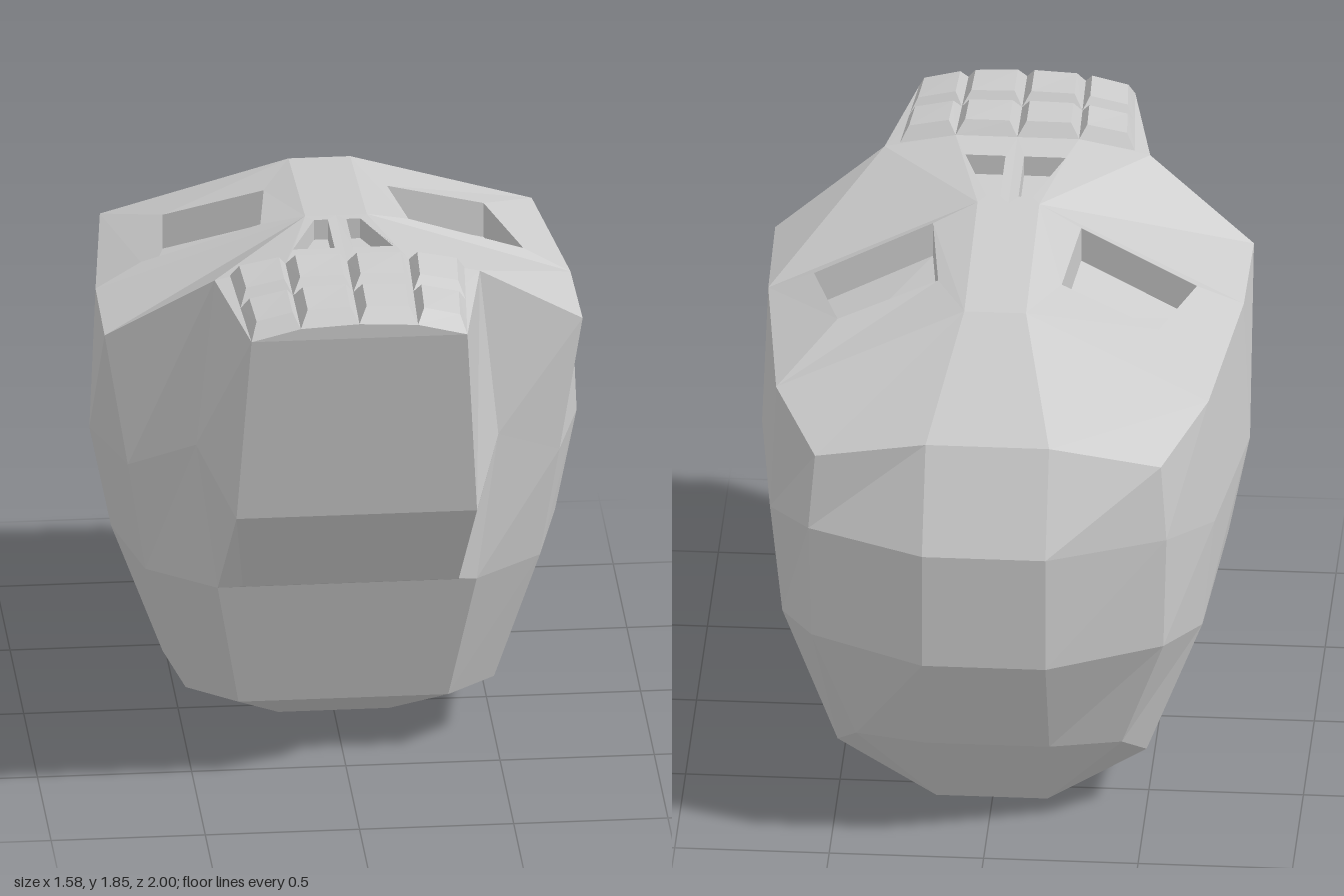
import * as THREE from 'three';

const material = new THREE.MeshStandardMaterial({ color: 0xcccccc, flatShading: true });
const mid = ([, y, z]) => [0, y, z]; // point moved onto the centre plane
const mix = (a, b, t) => a.map((v, i) => v + (b[i] - v) * t);
const drop = ([x, y, z], d) => [x, y - d, z];

// Collects flat faces of the left half and adds their mirror images
class Surface {
  constructor() { this.data = []; }
  triangle(a, b, c) {
    const [A, B, C] = [a, b, c].map(p => new THREE.Vector3(...p));
    if (B.sub(A).cross(C.sub(A)).length() > 1e-7) this.data.push(...a, ...b, ...c);
  }
  face(...p) {
    const m = p.map(([x, y, z]) => [-x, y, z]).reverse();
    for (const q of [p, m])
      for (let i = 1; i < q.length - 1; i++) this.triangle(q[0], q[i], q[i + 1]);
  }
  // Quads joining two loops of corners
  ring(a, b) {
    a.forEach((p, i) => {
      const j = (i + 1) % a.length;
      this.face(p, a[j], b[j], b[i]);
    });
  }
  // Panel with a sunken opening
  socket(outer, inner, depth) {
    const floor = inner.map(p => drop(p, depth));
    this.ring(outer, inner);
    this.ring(inner, floor);
    this.face(...floor);
  }
  mesh(name) {
    const g = new THREE.BufferGeometry();
    g.setAttribute('position', new THREE.Float32BufferAttribute(this.data, 3));
    g.computeVertexNormals();
    const m = new THREE.Mesh(g, material);
    m.name = name;
    return m;
  }
}

// Columns from the jaw hinge round to the back, each listed from bottom to top
const columns = [
  [[.18, 0, .06], [.34, .2, .41], [.42, .67, .55], [.49, 1.18, .55], [.43, 1.76, .55]],
  [[.18, 0, .06], [.5, .2, .28], [.64, .67, .38], [.7, 1.06, .42], [.775, 1.52, .42]],
  [[.18, 0, .06], [.55, .205, 0], [.72, .67, .03], [.79, 1.02, .03], [.77, 1.51, .03]],
  [[.18, .02, -.62], [.5, .21, -.61], [.68, .67, -.6], [.72, 1.05, -.6], [.7, 1.49, -.6]],
  [[.18, .02, -.62], [.43, .31, -.75], [.57, .71, -.83], [.58, 1.1, -.83], [.56, 1.35, -.8]],
  [[.18, .02, -.62], [.2, .32, -.82], [.2, .7, -1], [.2, 1.1, -1], [.2, 1.42, -.83]],
];
const top = columns.map(c => c[4]);
const brow = [.1, 1.72, -.47], bridge = [.1, 1.79, .14], noseBase = [.2, 1.81, .55];

function cranium() {
  const s = new Surface();
  for (let c = 0; c < 5; c++)
    for (let l = 0; l < 4; l++)
      s.face(columns[c][l], columns[c + 1][l], columns[c + 1][l + 1], columns[c][l + 1]);
  // Centre strips at front, back and bottom
  const f = columns[0], b = columns[5];
  for (let l = 0; l < 2; l++) s.face(mid(f[l]), f[l], f[l + 1], mid(f[l + 1]));
  for (let l = 0; l < 4; l++) s.face(b[l], mid(b[l]), mid(b[l + 1]), b[l + 1]);
  s.face(mid(f[0]), mid(b[0]), b[0], f[0]);
  // Forehead
  s.face(mid(brow), brow, top[5], mid(top[5]));
  s.face(brow, top[3], top[4], top[5]);
  return s.mesh('cranium');
}

function facePlate() {
  const s = new Surface();
  // Eye sockets
  s.socket([bridge, top[2], top[3], brow],
    [[.24, 1.74, .08], [.62, 1.585, 0], [.52, 1.6, -.33], [.2, 1.71, -.25]], .12);
  // Bridge and cheeks
  s.face(mid(bridge), bridge, brow, mid(brow));
  s.face(top[0], top[1], top[2], bridge);
  s.face(noseBase, top[0], bridge);
  // Nostrils
  s.socket([mid(noseBase), noseBase, bridge, mid(bridge)],
    [[.03, 1.805, .43], [.165, 1.805, .43], [.075, 1.793, .18], [.03, 1.793, .18]], .07);
  return s.mesh('face');
}

function jaw() {
  const s = new Surface();
  const back = columns[0].slice(2);
  const front = [[.35, .73, .68], [.39, 1.07, .9], [.35, 1.74, 1]];
  const lip = [.19, 1.78, 1], lipMid = [0, 1.79, 1];
  for (let l = 0; l < 2; l++) {
    s.face(front[l], back[l], back[l + 1], front[l + 1]);
    s.face(mid(front[l]), front[l], front[l + 1], mid(front[l + 1]));
  }
  s.face(mid(back[0]), back[0], front[0], mid(front[0]));
  // Lip and gum
  s.face(mid(front[2]), front[2], lip, lipMid);
  s.face(lipMid, lip, noseBase, mid(noseBase));
  s.face(lip, front[2], back[2], noseBase);
  return s.mesh('jaw');
}

// Two rows of bevelled teeth
function teeth() {
  const s = new Surface();
  const back = [[0, 1.81, .55], [.2, 1.81, .55], [.38, 1.775, .55]];
  const front = [[0, 1.79, 1], [.19, 1.78, 1], [.35, 1.74, 1]];
  for (const [t0, t1] of [[0, .49], [.49, 1]])
    for (let c = 0; c < 2; c++) {
      const at = (u, v) => {
        const t = t0 + (t1 - t0) * v;
        return mix(mix(back[c], front[c], t), mix(back[c + 1], front[c + 1], t), u);
      };
      const base = [at(0, 1), at(1, 1), at(1, 0), at(0, 0)];
      const crown = [at(.14, .82), at(.86, .82), at(.86, .14), at(.14, .14)]
        .map(p => drop(p, -.045));
      s.ring(base, crown);
      s.face(...crown);
    }
  return s.mesh('teeth');
}

export function createModel() {
  const group = new THREE.Group();
  group.name = 'skull';
  group.add(cranium(), facePlate(), jaw(), teeth());
  return group;
}
